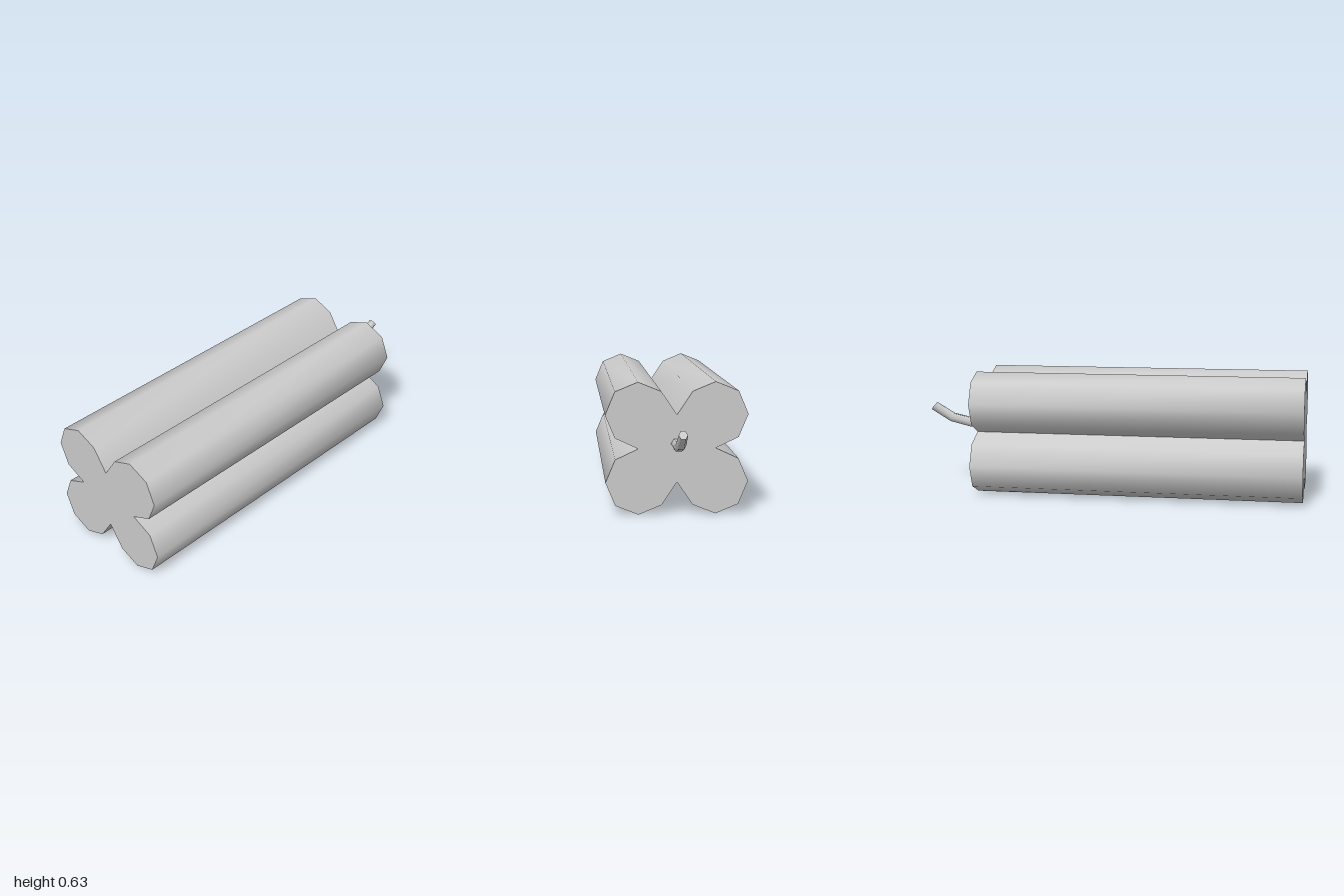
import * as THREE from 'three';
import { toCreasedNormals } from 'three/addons/utils/BufferGeometryUtils.js';

const material = new THREE.MeshStandardMaterial({ color: 0xcccccc });

// Four fused octagonal sticks, extruded as one clover outline
function createBundle() {
  const quarter = [[0.183, 0], [0.292, 0.051], [0.338, 0.16], [0.292, 0.27], [0.183, 0.315], [0.074, 0.27], [0, 0.16]];
  const outline = [];
  for (const [sx, sy] of [[1, 1], [-1, 1], [-1, -1], [1, -1]]) {
    const points = quarter.map(([x, y]) => new THREE.Vector2(x * sx, 0.316 + y * sy));
    if (sx * sy < 0) points.reverse();
    outline.push(...points.slice(0, -1)); // the last point begins the next quarter
  }
  const geometry = new THREE.ExtrudeGeometry(new THREE.Shape(outline), { depth: 1.69, bevelEnabled: false });
  geometry.translate(0, 0, -0.69);
  const mesh = new THREE.Mesh(toCreasedNormals(geometry, 1.3), material);
  mesh.name = 'stickBundle';
  return mesh;
}

// Tapered six-sided fuse, bent upward along a few rings
function createFuse() {
  const rings = [ // z, y, half width, half height, tilt
    { z: -0.68, y: 0.338, w: 0.03, h: 0.027, tilt: 0 },
    { z: -0.775, y: 0.338, w: 0.027, h: 0.027, tilt: 0.1 },
    { z: -0.885, y: 0.363, w: 0.025, h: 0.026, tilt: 0.4 },
    { z: -0.985, y: 0.422, w: 0.021, h: 0.026, tilt: 0.68 },
  ];
  const geometry = new THREE.CylinderGeometry(1, 1, 1, 6, 3);
  const p = geometry.attributes.position;
  for (let i = 0; i < p.count; i++) {
    const ring = rings[Math.round((0.5 - p.getY(i)) * 3)];
    const up = p.getX(i) * ring.h;
    p.setXYZ(i, p.getZ(i) * ring.w, ring.y + up * Math.cos(ring.tilt), ring.z + up * Math.sin(ring.tilt));
  }
  const mesh = new THREE.Mesh(toCreasedNormals(geometry, 1.2), material);
  mesh.name = 'fuse';
  return mesh;
}

export function createModel() {
  const model = new THREE.Group();
  model.name = 'fusedStickBundle';
  model.add(createBundle(), createFuse());
  return model;
}
